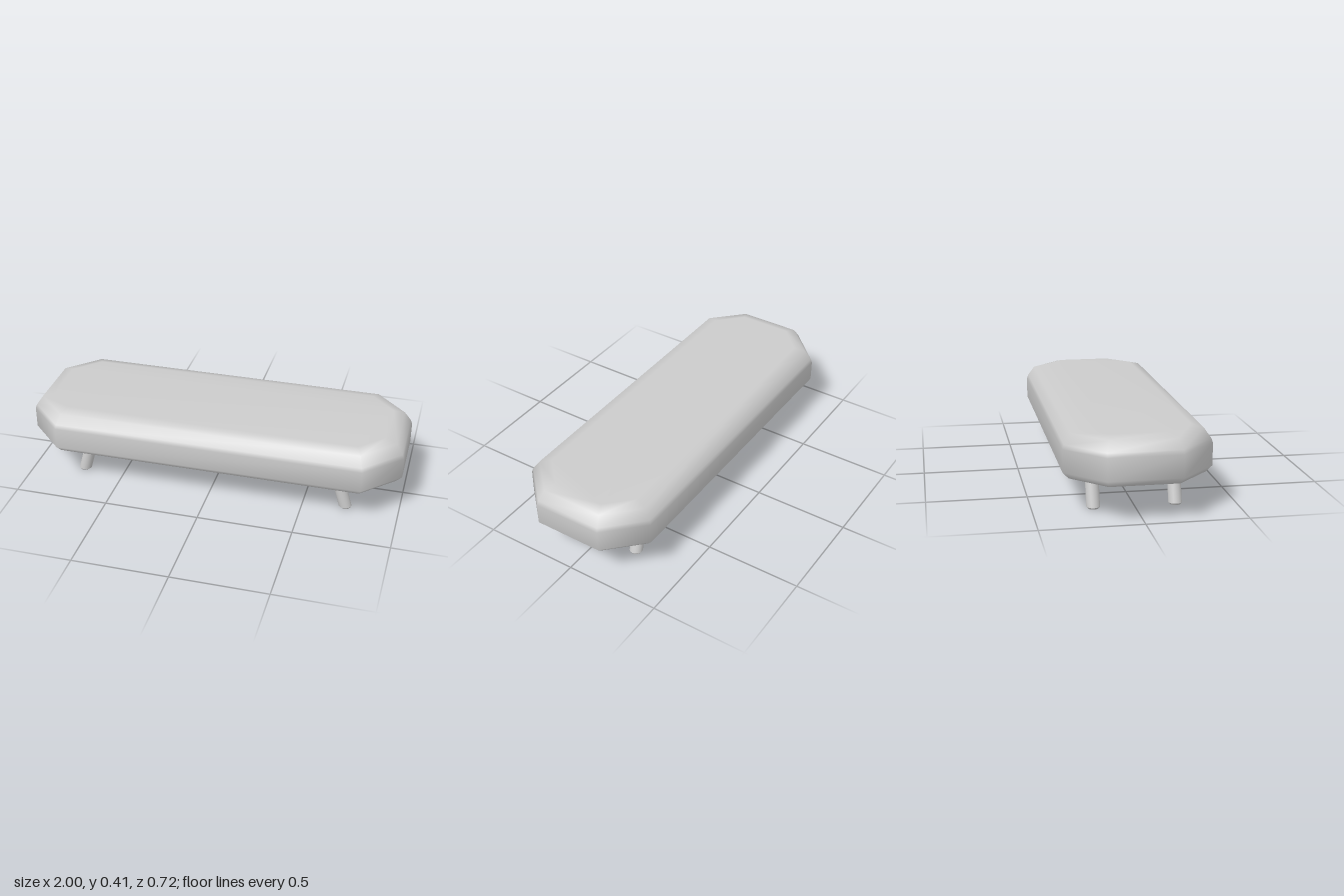
import * as THREE from 'three';
import { toCreasedNormals } from 'three/addons/utils/BufferGeometryUtils.js';

const material = new THREE.MeshStandardMaterial({ color: 0xcccccc });

// Octagonal outline, moved inwards by d, at height y (counter-clockwise seen from above)
function octagon(d, y) {
  const k = 0.414 * d;
  const a = [1 - d, 0.18 - k], b = [0.815 - k, 0.362 - d];
  return [
    [a[0], -a[1]], [b[0], -b[1]], [-b[0], -b[1]], [-a[0], -a[1]],
    [-a[0], a[1]], [-b[0], b[1]], [b[0], b[1]], [a[0], a[1]],
  ].map(([x, z]) => [x, y, z]);
}

// Cushion: stacked octagon rings, smooth sides and top, crisp flat base
function cushionGeometry() {
  const rings = [[0.029, 0.18], [0, 0.213], [0, 0.325], [0.008, 0.347], [0.042, 0.397], [0.1, 0.413]];
  const points = rings.flatMap(([d, y]) => octagon(d, y));
  const index = [];
  for (let r = 0; r < rings.length - 1; r++) {
    for (let i = 0; i < 8; i++) {
      const j = (i + 1) % 8;
      const a = r * 8 + i, b = r * 8 + j, c = a + 8, d = b + 8;
      index.push(a, b, d, a, d, c);
    }
  }
  const top = (rings.length - 1) * 8;
  const base = points.length;
  points.push(...octagon(...rings[0]));
  for (let i = 1; i < 7; i++) {
    index.push(top, top + i, top + i + 1);
    index.push(base, base + i + 1, base + i);
  }
  const geometry = new THREE.BufferGeometry();
  geometry.setAttribute('position', new THREE.Float32BufferAttribute(points.flat(), 3));
  geometry.setIndex(index);
  geometry.computeVertexNormals();
  return geometry;
}

// Leg: bevelled round peg, sheared outwards so both ends stay level
function legGeometry(side) {
  const profile = [[0, 0], [0.027, 0], [0.034, 0.008], [0.034, 0.174], [0.028, 0.181], [0, 0.181]]
    .map(([x, y]) => new THREE.Vector2(x, y));
  const geometry = new THREE.LatheGeometry(profile, 16);
  const p = geometry.attributes.position;
  for (let i = 0; i < p.count; i++) p.setX(i, p.getX(i) - side * 0.28 * p.getY(i));
  return toCreasedNormals(geometry, 0.5);
}

export function createModel() {
  const model = new THREE.Group();
  model.name = 'bench';

  const cushion = new THREE.Mesh(cushionGeometry(), material);
  cushion.name = 'cushion';
  model.add(cushion);

  for (const x of [-1, 1]) {
    for (const z of [-1, 1]) {
      const leg = new THREE.Mesh(legGeometry(x), material);
      leg.name = `${z > 0 ? 'front' : 'back'}${x > 0 ? 'Left' : 'Right'}Leg`;
      leg.position.set(x * 0.724, 0, z * 0.203);
      model.add(leg);
    }
  }
  return model;
}
